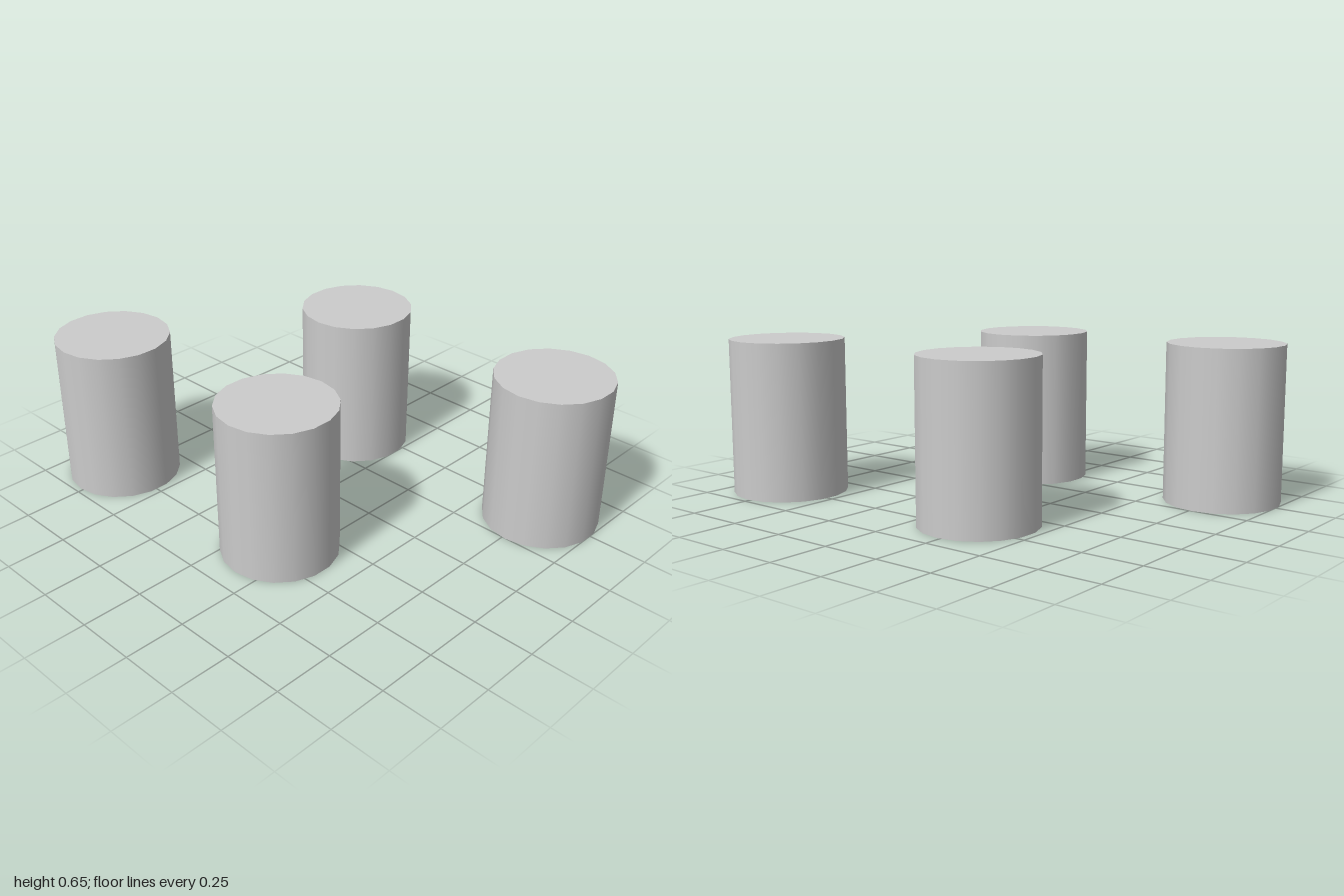
import * as THREE from 'three';

export function createModel() {
  const group = new THREE.Group();
  const radius = 0.239, height = 0.65, sides = 18;
  const material = new THREE.MeshStandardMaterial({ color: 0xcccccc });

  // One upright pillar, its corners on the x axis and its base on the ground
  const geometry = new THREE.CylinderGeometry(radius, radius, height, sides);
  geometry.rotateY(Math.PI / 2);
  geometry.translate(0, height / 2, 0);

  // Four pillars in a staggered row, like stepping posts
  const pillars = [
    ['backRightPillar', -0.488, -0.765],
    ['backLeftPillar', 0.435, -0.235],
    ['frontRightPillar', -0.42, 0.155],
    ['frontLeftPillar', 0.486, 0.765],
  ];
  for (const [name, x, z] of pillars) {
    const pillar = new THREE.Mesh(geometry, material);
    pillar.name = name;
    pillar.position.set(x, 0, z);
    group.add(pillar);
  }
  return group;
}
